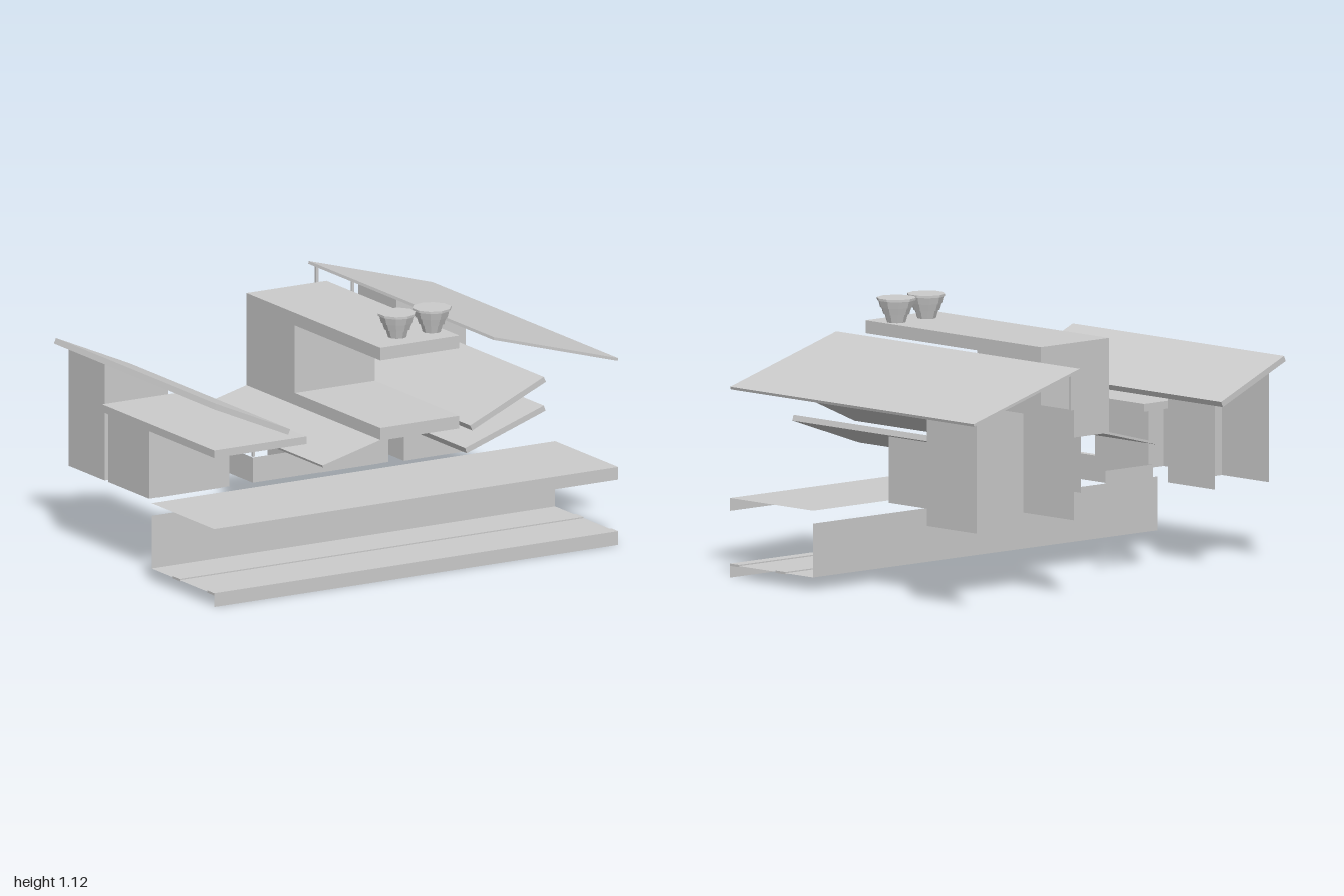
import * as THREE from 'three';

export function createModel() {
  const model = new THREE.Group();
  const mat = new THREE.MeshStandardMaterial({ color: 0xcccccc, flatShading: true, side: THREE.DoubleSide });

  function add(name, geometry, parent = model) {
    const mesh = new THREE.Mesh(geometry, mat);
    mesh.name = name;
    parent.add(mesh);
    return mesh;
  }

  // Box given by its limits
  function slab(name, x0, x1, y0, y1, z0, z1, parent) {
    const g = new THREE.BoxGeometry(x1 - x0, y1 - y0, z1 - z0);
    g.translate((x0 + x1) / 2, (y0 + y1) / 2, (z0 + z1) / 2);
    return add(name, g, parent);
  }

  const outline = (pts) => new THREE.Shape(pts.map(([x, y]) => new THREE.Vector2(x, y)));

  // Thin upright panel facing the front
  function frontPanel(name, z, pts, parent) {
    return add(name, new THREE.ShapeGeometry(outline(pts)).translate(0, 0, z), parent);
  }

  // Thin upright panel facing sideways
  function sidePanel(name, x, y0, y1, z0, z1, parent) {
    const g = new THREE.PlaneGeometry(z1 - z0, y1 - y0).rotateY(x < 0 ? -Math.PI / 2 : Math.PI / 2);
    return add(name, g.translate(x, (y0 + y1) / 2, (z0 + z1) / 2), parent);
  }

  // Horizontal sheet
  function sheet(name, x0, x1, y, z0, z1, parent) {
    const g = new THREE.PlaneGeometry(x1 - x0, z1 - z0).rotateX(-Math.PI / 2);
    return add(name, g.translate((x0 + x1) / 2, y, (z0 + z1) / 2), parent);
  }

  // Sloping roof: top edge from (x0, y0) to (x1, y1), run along z
  function slopedRoof(name, x0, y0, x1, y1, t, z0, z1, parent) {
    const dx = x1 - x0, dy = y1 - y0, len = Math.hypot(dx, dy);
    const nx = (dy / len) * t, ny = (-dx / len) * t;
    const shape = outline([[x0, y0], [x0 + nx, y0 + ny], [x1 + nx, y1 + ny], [x1, y1]]);
    const g = new THREE.ExtrudeGeometry(shape, { depth: z1 - z0, bevelEnabled: false });
    return add(name, g.translate(0, 0, z0), parent);
  }

  // Room open at the back: two sides and a front whose top may slope
  function room(name, x0, x1, y0, leftTop, rightTop, z0, z1) {
    const g = new THREE.Group();
    g.name = name;
    model.add(g);
    sidePanel('wallLow', x0, y0, leftTop, z0, z1, g);
    sidePanel('wallHigh', x1, y0, rightTop, z0, z1, g);
    frontPanel('frontWall', z1, [[x0, y0], [x1, y0], [x1, rightTop], [x0, leftTop]], g);
    return g;
  }

  const rect = (x0, x1, y0, y1) => [[x0, y0], [x1, y0], [x1, y1], [x0, y1]];
  const deckY = 0.34, front = 0.75;

  // Lower walkway, back wall and upper deck
  sheet('walkway', -1, 1, 0.055, 0.24, front);
  frontPanel('walkwayFascia', front, rect(-1, 1, 0, 0.055));
  slab('walkwayEdge', -1, 1, 0.05, 0.06, 0.695, front);
  slab('walkwayStrip', -1, 1, 0.05, 0.06, 0.41, 0.47);
  frontPanel('backWall', 0.24, rect(-1, 1, 0.055, 0.285));
  sheet('deck', -1, 1, deckY, 0.24, front);
  frontPanel('deckFascia', front, rect(-1, 1, 0.285, deckY));

  // Small house: front room with flat roof, rear room with sloping roof
  const frontRoom = room('smallHouseFrontRoom', -0.97, -0.57, deckY, 0.65, 0.65, -0.16, 0.17);
  frontPanel('door', 0.173, rect(-0.925, -0.615, deckY, 0.57), frontRoom);
  slab('smallHouseFlatRoof', -1, -0.545, 0.65, 0.683, -0.16, front);
  room('smallHouseRearRoom', -0.97, -0.655, deckY, 0.85, 0.71, -0.48, -0.19);
  slopedRoof('smallHouseSlopedRoof', -0.99, 0.885, -0.625, 0.725, 0.025, -0.55, front);

  // Tower: lower room, balcony slab, upper room, top slab
  const lowerRoom = room('towerLowerRoom', -0.18, 0.215, deckY, 0.615, 0.615, -0.16, 0.17);
  frontPanel('door', 0.173, rect(-0.13, 0.16, deckY, 0.52), lowerRoom);
  slab('towerBalcony', -0.18, 0.215, 0.615, 0.67, -0.33, front);
  const upperRoom = room('towerUpperRoom', -0.18, 0.215, 0.67, 0.965, 0.965, -0.33, 0.06);
  frontPanel('rearWall', -0.33, rect(-0.18, 0.215, 0.67, 0.965), upperRoom);
  slab('towerRoof', -0.18, 0.215, 0.965, 1.02, -0.33, front);

  // Stepped funnels on the tower
  const funnelProfile = [[0, 1.02], [0.04, 1.02], [0.05, 1.055], [0.056, 1.055], [0.065, 1.085],
    [0.07, 1.085], [0.078, 1.115], [0.083, 1.115], [0.083, 1.125], [0, 1.125]]
    .map(([r, y]) => new THREE.Vector2(r, y));
  for (const x of [-0.02, 0.155]) {
    add('funnel', new THREE.LatheGeometry(funnelProfile, 10)).position.set(x, 0, 0.625);
  }

  // Low annex beside the tower, with a thin raised roof on posts
  const annex = new THREE.Group();
  annex.name = 'annex';
  model.add(annex);
  sidePanel('annexSide', -0.455, deckY, 0.45, -0.31, 0.17, annex);
  for (const z of [-0.31, 0.17]) frontPanel('annexWall', z, rect(-0.455, -0.18, deckY, 0.45), annex);
  for (const z of [-0.3, 0.15]) slab('annexPost', -0.45, -0.438, 0.45, 0.545, z, z + 0.012, annex);
  slopedRoof('annexRoof', -0.465, 0.545, -0.18, 0.618, 0.01, -0.33, front, annex);

  // Large house: three rooms stepping back, each with its own roof
  room('largeHouseFrontRoom', 0.28, 0.61, deckY, 0.505, 0.627, -0.1, 0.19);
  slopedRoof('largeHouseLowRoof', 0.243, 0.525, 0.632, 0.658, 0.025, -0.1, front);
  room('largeHouseMiddleRoom', 0.305, 0.61, deckY, 0.61, 0.745, -0.39, -0.11);
  slopedRoof('largeHouseMiddleRoof', 0.268, 0.62, 0.632, 0.783, 0.025, -0.4, front);
  room('largeHouseRearRoom', 0.39, 0.955, deckY, 0.81, 0.81, -0.72, -0.41);
  room('largeHouseGable', 0.61, 0.955, 0.81, 0.91, 0.812, -0.72, -0.41);
  for (const z of [-0.715, -0.425]) slab('largeHousePost', 0.392, 0.404, 0.81, 0.975, z, z + 0.012);
  slopedRoof('largeHouseTopRoof', 0.385, 0.99, 1, 0.815, 0.012, -0.75, front);

  return model;
}
